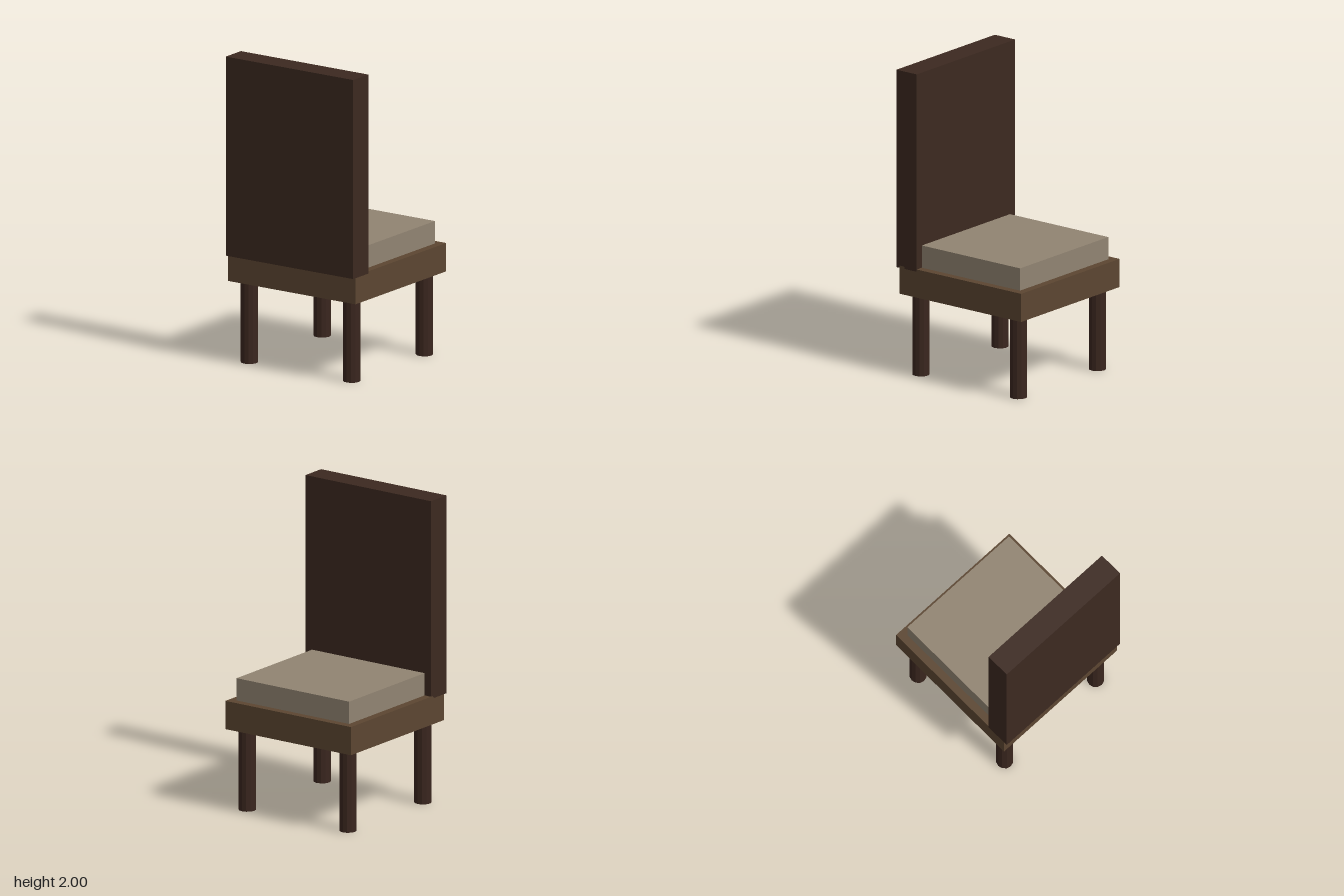
import * as THREE from 'three';

const material = (color) => new THREE.MeshStandardMaterial({ color, flatShading: true });

export function createModel() {
  const chair = new THREE.Group();
  chair.name = 'chair';
  const darkWood = material(0x3c2920);
  const seatWood = material(0x5c4631);
  const fabric = material(0x918472);
  const legWood = material(0x3a261e);

  // Box given by its width and its y and z extents, centred on x
  function addBox(name, width, [y0, y1], [z0, z1], mat) {
    const mesh = new THREE.Mesh(new THREE.BoxGeometry(width, y1 - y0, z1 - z0), mat);
    mesh.name = name;
    mesh.position.set(0, (y0 + y1) / 2, (z0 + z1) / 2);
    chair.add(mesh);
  }

  addBox('seatFrame', 0.984, [0.533, 0.718], [-0.505, 0.48], seatWood);
  addBox('seatCushion', 0.882, [0.718, 0.864], [-0.455, 0.43], fabric);
  addBox('backrest', 0.984, [0.703, 2], [0.341, 0.505], darkWood);

  // Four round legs, one under each corner
  const legGeometry = new THREE.CylinderGeometry(0.055, 0.055, 0.533, 12);
  for (const [end, z] of [['front', 0.385], ['back', -0.405]]) {
    for (const [side, x] of [['Left', 0.395], ['Right', -0.395]]) {
      const leg = new THREE.Mesh(legGeometry, legWood);
      leg.name = `${end}${side}Leg`;
      leg.position.set(x, 0.2665, z);
      chair.add(leg);
    }
  }
  return chair;
}
